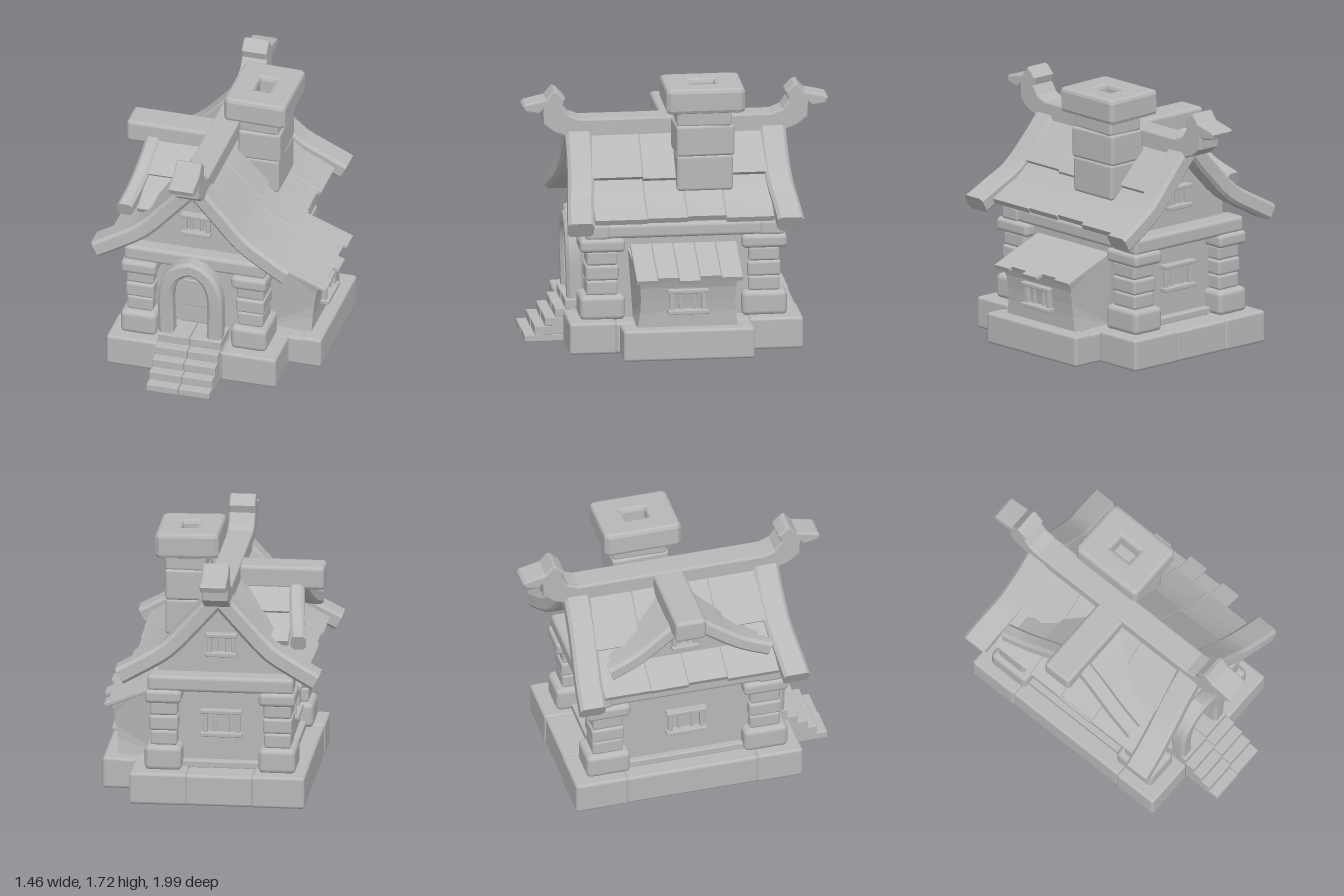
import * as THREE from 'three';
import { toCreasedNormals } from 'three/addons/utils/BufferGeometryUtils.js';
import { RoundedBoxGeometry } from 'three/addons/geometries/RoundedBoxGeometry.js';

const CX = -0.07; // ridge line of the house
const V = (x, y, z) => new THREE.Vector3(x, y, z);

// Chamfered rectangular bar swept along a path; depth is the fixed axis across it
function bar(path, halfWidth, halfDepth, depth, chamfer = 0.02) {
  const a = halfWidth, b = halfDepth, c = Math.min(chamfer, a * 0.6, b * 0.6);
  const section = [[a, -b + c], [a, b - c], [a - c, b], [-a + c, b], [-a, b - c], [-a, -b + c], [-a + c, -b], [a - c, -b]];
  const rings = path.map((p, i) => {
    const t = path[Math.min(i + 1, path.length - 1)].clone().sub(path[Math.max(i - 1, 0)]);
    const s = depth.clone().cross(t).normalize();
    return section.map(([u, v]) => p.clone().addScaledVector(s, u).addScaledVector(depth, v));
  });
  const pos = [];
  const tri = (...pts) => pts.forEach((p) => pos.push(p.x, p.y, p.z));
  for (let i = 0; i < rings.length - 1; i++) {
    for (let j = 0; j < 8; j++) {
      const k = (j + 1) % 8, r = rings[i], n = rings[i + 1];
      tri(r[j], r[k], n[k]);
      tri(r[j], n[k], n[j]);
    }
  }
  const first = rings[0], last = rings[rings.length - 1];
  for (let j = 1; j < 7; j++) {
    tri(first[0], first[j + 1], first[j]);
    tri(last[0], last[j], last[j + 1]);
  }
  const geo = new THREE.BufferGeometry();
  geo.setAttribute('position', new THREE.Float32BufferAttribute(pos, 3));
  return toCreasedNormals(geo, 0.5);
}

const curve = (points, n = 10) => new THREE.CatmullRomCurve3(points).getPoints(n);

function extrude(points, depth, bevel = 0, hole = null) {
  const shape = new THREE.Shape(points.map((p) => new THREE.Vector2(...p)));
  if (hole) shape.holes.push(new THREE.Path(hole.map((p) => new THREE.Vector2(...p))));
  return new THREE.ExtrudeGeometry(shape, {
    depth: depth - 2 * bevel, bevelEnabled: bevel > 0, bevelSize: bevel, bevelThickness: bevel,
    bevelOffset: -bevel, bevelSegments: 2,
  }).translate(0, 0, -depth / 2 + bevel);
}

export function createModel() {
  const stone = new THREE.MeshStandardMaterial({ color: 0xb8b8b8 });
  stone.name = 'stone grey';
  const model = new THREE.Group();
  model.name = 'cottage';
  let seed = 7;
  const rand = () => (seed = (seed * 16807) % 2147483647) / 2147483647;

  const add = (name, geo, parent = model) => {
    const mesh = new THREE.Mesh(geo, stone);
    mesh.name = name;
    parent.add(mesh);
    return mesh;
  };
  // Rounded block given by its extents
  const block = (name, x0, x1, y0, y1, z0, z1, r = 0.02, parent = model) => {
    const mesh = add(name, new RoundedBoxGeometry(x1 - x0, y1 - y0, z1 - z0, 2, r), parent);
    mesh.position.set((x0 + x1) / 2, (y0 + y1) / 2, (z0 + z1) / 2);
    return mesh;
  };

  // Plinth: floor, corner stones and long stones between
  block('floor', -0.6, 0.47, 0.015, 0.2, -0.73, 0.71, 0.005);
  for (const [x0, x1] of [[-0.635, -0.29], [0.13, 0.5]]) {
    block('plinthCorner', x0, x1, 0, 0.21, 0.44, 0.745);
    block('plinthCorner', x0, x1, 0, 0.21, -0.77, -0.42);
  }
  block('plinthLeft', -0.63, -0.4, 0, 0.205, -0.43, 0.45);
  block('plinthRight', 0.3, 0.495, 0, 0.205, -0.43, 0.45);
  block('plinthFront', -0.3, 0.14, 0, 0.205, 0.5, 0.735);
  block('plinthBack', -0.3, 0.14, 0, 0.205, -0.765, -0.5);
  block('bayPlinthOuter', 0.57, 0.71, 0, 0.205, -0.43, 0.42);
  block('bayPlinthFront', 0.46, 0.7, 0, 0.2, 0.27, 0.42);
  block('bayPlinthBack', 0.46, 0.7, 0, 0.2, -0.43, -0.28);
  block('leftSill', -0.52, -0.44, 0.2, 0.25, -0.4, 0.4, 0.01);
  block('backSill', -0.36, 0.2, 0.2, 0.25, -0.58, -0.5, 0.01);

  // Stairs, two slabs to each step
  for (let i = 0; i < 5; i++) {
    const top = 0.05 + i * 0.0565, front = 1 - i * 0.066;
    block('step', -0.292, -0.083 + (i % 2) * 0.006, Math.max(0, top - 0.062), top, 0.5, front, 0.006);
    block('step', -0.08 + (i % 2) * 0.006, 0.128, Math.max(0, top - 0.062), top - 0.003, 0.5, front - 0.006, 0.006);
  }

  // House body, running up into both gables
  add('walls', extrude([[CX - 0.41, 0.2], [CX + 0.41, 0.2], [CX + 0.41, 0.93], [CX + 0.28, 1.06],
    [CX + 0.15, 1.21], [CX, 1.35], [CX - 0.15, 1.21], [CX - 0.28, 1.06], [CX - 0.41, 0.93]], 1.06));

  // Stacked stone columns
  for (const x of [-0.445, 0.292]) {
    for (const z of [0.52, -0.53]) {
      const column = new THREE.Group();
      column.name = 'column';
      model.add(column);
      const piece = (hx, hz, y0, y1, r) => block('columnStone', x - hx, x + hx, y0, y1, z - hz, z + hz, r, column);
      piece(0.12, 0.147, 0.2, 0.365, 0.035);
      piece(0.087, 0.102, 0.36, 0.46, 0.018);
      piece(0.094, 0.108, 0.46, 0.56, 0.018);
      piece(0.09, 0.1, 0.56, 0.655, 0.018);
      piece(0.118, 0.147, 0.65, 0.74, 0.028);
    }
  }

  // Eaves beams
  block('eavesBeamFront', -0.55, 0.395, 0.73, 0.835, 0.47, 0.63, 0.025);
  block('eavesBeamBack', -0.55, 0.395, 0.73, 0.835, -0.66, -0.5, 0.025);
  block('eavesBeamLeft', -0.54, -0.4, 0.735, 0.83, -0.63, 0.6, 0.025);
  block('eavesBeamRight', 0.25, 0.385, 0.735, 0.83, -0.63, 0.6, 0.025);

  // Door and its arch
  block('door', -0.19, 0.02, 0.28, 0.7, 0.5, 0.545, 0.008);
  block('doorPanel', -0.17, 0, 0.41, 0.6, 0.535, 0.555, 0.006);
  add('doorArch', bar(curve([V(-0.245, 0.28, 0.66), V(-0.25, 0.45, 0.665), V(-0.245, 0.6, 0.67), V(-0.195, 0.715, 0.67),
    V(-0.085, 0.775, 0.67), V(0.025, 0.715, 0.67), V(0.075, 0.6, 0.67), V(0.08, 0.45, 0.665), V(0.075, 0.28, 0.66)], 16),
  0.05, 0.055, V(0, 0, 1)));

  // Small barred windows, built facing +z
  const addWindow = (x, y, z, turn, w, h) => {
    const win = new THREE.Group();
    win.name = 'window';
    win.position.set(x, y, z);
    win.rotation.y = turn;
    model.add(win);
    const hw = w / 2, hh = h / 2;
    block('lintel', -hw, hw, hh - 0.026, hh, -0.04, 0.05, 0.006, win);
    block('sill', -hw, hw, -hh, -hh + 0.028, -0.04, 0.05, 0.006, win);
    for (const s of [-1, 1]) {
      block('jamb', s * hw * 0.78 - 0.015, s * hw * 0.78 + 0.015, -hh, hh - 0.01, -0.04, 0.03, 0.005, win);
      block('windowBar', s * hw * 0.32 - 0.009, s * hw * 0.32 + 0.009, -hh, hh - 0.01, -0.04, 0.015, 0.004, win);
    }
  };
  addWindow(-0.085, 1.025, 0.53, 0, 0.2, 0.155);
  addWindow(-0.075, 1.025, -0.53, Math.PI, 0.2, 0.155);
  addWindow(-0.075, 0.5, -0.53, Math.PI, 0.27, 0.18);
  addWindow(-0.48, 0.5, 0, -Math.PI / 2, 0.27, 0.18);
  addWindow(-0.45, 1.13, 0, -Math.PI / 2, 0.18, 0.13);
  addWindow(0.63, 0.38, -0.003, Math.PI / 2, 0.265, 0.165);

  // Side bay, narrowest at mid height
  const bay = extrude([[0.3, 0.2], [0.62, 0.2], [0.622, 0.3], [0.63, 0.38], [0.645, 0.47], [0.668, 0.54],
    [0.5, 0.605], [0.33, 0.665], [0.3, 0.38]], 2);
  const bp = bay.attributes.position;
  for (let i = 0; i < bp.count; i++) {
    const y = bp.getY(i);
    bp.setZ(i, bp.getZ(i) * (0.305 + 0.04 * ((y - 0.38) / 0.25) ** 2) - 0.005);
  }
  bay.computeVertexNormals();
  add('bay', bay);
  const bayEnds = [0.7, 0.68, 0.725, 0.69, 0.715];
  bayEnds.forEach((end, i) => {
    const z = -0.285 + i * 0.138;
    add('bayShingle', bar([V(0.33, 0.675, z), V(0.5, 0.612, z), V(end, 0.675 - (end - 0.33) * 0.385, z)],
      0.014, 0.0685, V(0, 0, 1), 0.004));
  });

  // Main roof: two overlapping rows of broad shingles on both slopes
  const zCuts = [-0.58, -0.27, -0.02, 0.24, 0.58];
  for (const side of [1, -1]) {
    for (let i = 0; i < 4; i++) {
      const z = (zCuts[i] + zCuts[i + 1]) / 2, half = (zCuts[i + 1] - zCuts[i]) / 2;
      const j = rand() * 0.025, k = rand() * 0.03;
      const P = (d, y) => V(CX + side * d, y, z);
      add('upperShingle', bar([P(0, 1.385), P(0.15, 1.245), P(0.29 + j, 1.1 - j)], 0.022, half, V(0, 0, 1), 0.005));
      add('lowerShingle', bar([P(0.22, 1.125), P(0.38, 0.98), P(0.55 + k, 0.888 - k * 0.5)], 0.02, half, V(0, 0, 1), 0.005));
    }
    // Curved gable boards, front and back
    for (const end of [1, -1]) {
      const B = (d, y, z) => V(CX + side * d, y, end * z);
      add('gableBoard', bar(curve([B(-0.01, 1.39, 0.63), B(0.16, 1.2, 0.63), B(0.33, 1.025, 0.645), B(0.48, 0.935, 0.665), B(0.635, 0.85, 0.68)]),
        0.056, 0.085, V(0, 0, 1)));
    }
  }

  // Ridge beam with a carved finial at each end
  const halfRidge = [[0.6, 1.315], [0.69, 1.32], [0.785, 1.355], [0.855, 1.41], [0.86, 1.51], [0.885, 1.483], [0.975, 1.5], [0.99, 1.535],
    [0.975, 1.55], [0.84, 1.58], [0.79, 1.64], [0.765, 1.63], [0.715, 1.58], [0.73, 1.53], [0.69, 1.47], [0.62, 1.442]];
  const ridge = [...halfRidge, ...halfRidge.map(([z, y]) => [-z, y]).reverse()];
  add('ridgeBeam', extrude(ridge, 0.17, 0.012).rotateY(-Math.PI / 2)).position.x = -0.066;

  // Dormer on the left slope of the front view
  add('dormerWall', extrude([[-0.42, 0.92], [0.42, 0.92], [0.42, 1.03], [0.2, 1.17], [0, 1.33], [-0.2, 1.17], [-0.42, 1.03]], 0.26)
    .rotateY(-Math.PI / 2)).position.x = -0.32;
  block('dormerRidge', -0.69, -0.1, 1.28, 1.43, -0.12, 0.085, 0.025);
  for (const side of [1, -1]) {
    const P = (x, y, z) => V(x, y, side * z);
    add('dormerUpperShingle', bar([P(-0.33, 1.35, 0), P(-0.33, 1.27, 0.12), P(-0.33, 1.165, 0.27)], 0.02, 0.17, V(1, 0, 0), 0.005));
    add('dormerLowerShingle', bar([P(-0.41, 1.19, 0.2), P(-0.41, 1.08, 0.38), P(-0.41, 1.03, 0.49)], 0.018, 0.09, V(1, 0, 0), 0.005));
    add('dormerBoard', bar(curve([P(-0.505, 1.34, 0), P(-0.52, 1.22, 0.17), P(-0.545, 1.11, 0.35), P(-0.57, 1.045, 0.53)]),
      0.05, 0.05, V(1, 0, 0)));
  }

  // Chimney: slightly turned stones and a hollow cap
  [[1.02, 1.255, 0.135, 0], [1.25, 1.455, 0.14, 0.03], [1.445, 1.57, 0.133, -0.02]].forEach(([y0, y1, h, turn]) => {
    block('chimneyStone', 0.18 - h, 0.18 + h, y0, y1, -0.155 - h * 1.35, -0.155 + h * 1.35, 0.02).rotation.y = turn;
  });
  const cap = extrude([[-0.18, -0.255], [0.18, -0.255], [0.205, -0.23], [0.205, 0.23], [0.18, 0.255], [-0.18, 0.255], [-0.205, 0.23], [-0.205, -0.23]],
    0.165, 0.025, [[-0.05, -0.075], [-0.05, 0.075], [0.05, 0.075], [0.05, -0.075]]);
  const capMesh = add('chimneyCap', cap.rotateX(-Math.PI / 2));
  capMesh.position.set(0.168, 1.63, -0.155);
  capMesh.rotation.z = -0.02;

  return model;
}
